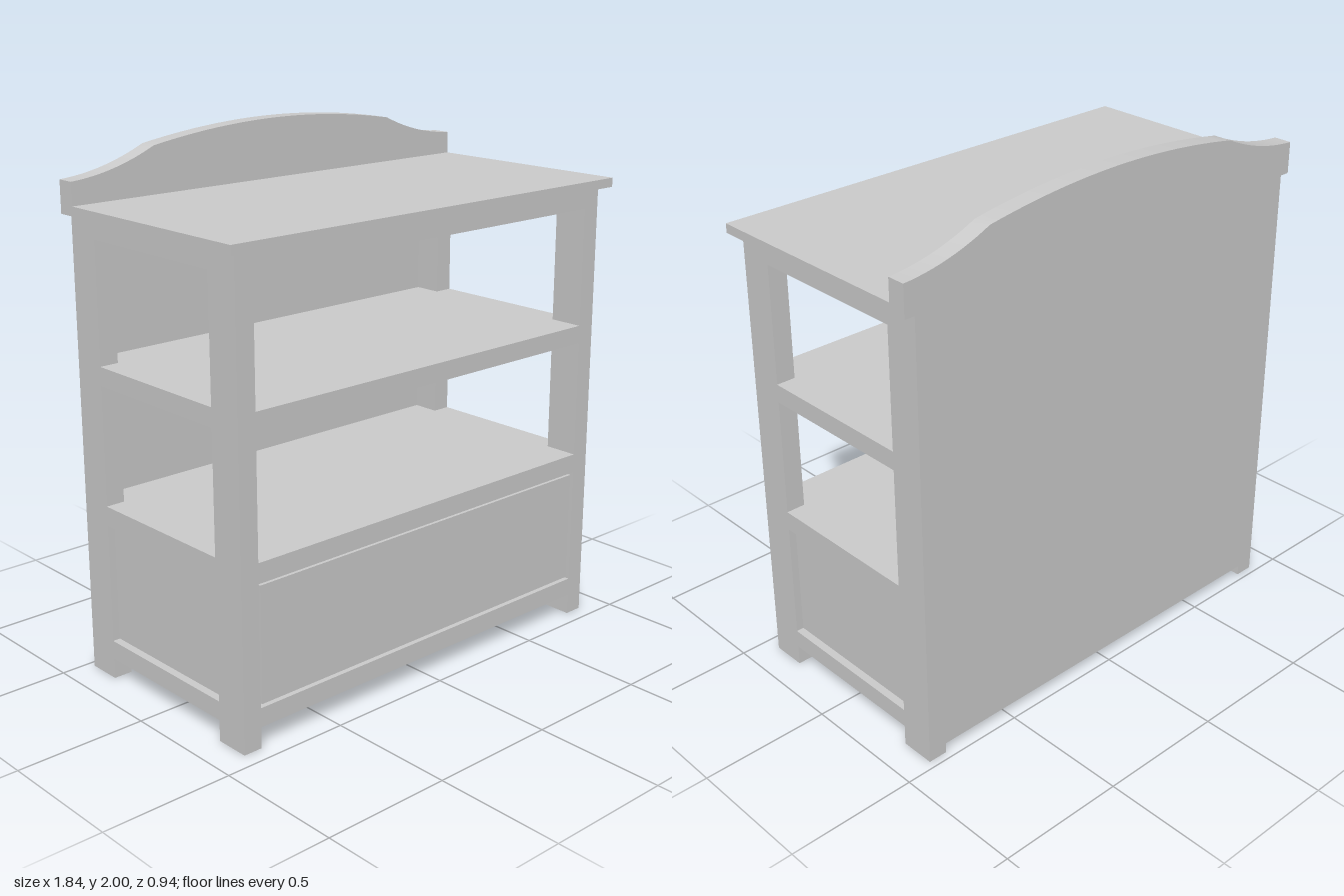
import * as THREE from 'three';
import { toCreasedNormals } from 'three/addons/utils/BufferGeometryUtils.js';

const IN = 0.805, OUT = 0.88;           // inner and outer x of the side frames
const FRONT = 0.435, BACK = -0.47;      // z of the carcass faces

export function createModel() {
  const group = new THREE.Group();
  const material = new THREE.MeshStandardMaterial({ color: 0xcccccc });

  const add = (name, geometry) => {
    const mesh = new THREE.Mesh(geometry, material);
    mesh.name = name;
    group.add(mesh);
    return mesh;
  };
  // box given by its limits on each axis
  const box = (name, x0, x1, y0, y1, z0, z1) => {
    const mesh = add(name, new THREE.BoxGeometry(x1 - x0, y1 - y0, z1 - z0));
    mesh.position.set((x0 + x1) / 2, (y0 + y1) / 2, (z0 + z1) / 2);
  };
  const polygon = (Type, pts) => new Type(pts.map(p => new THREE.Vector2(...p)));

  // side frames: posts and rails in one piece with three openings
  const z0 = -0.335, z1 = 0.30;
  const side = polygon(THREE.Shape, [
    [BACK, 0], [z0, 0], [z0, 0.08], [z1, 0.08], [z1, 0], [FRONT, 0], [FRONT, 1.74], [BACK, 1.74],
  ]);
  for (const [y0, y1] of [[0.152, 0.61], [0.685, 1.14], [1.21, 1.665]]) {
    side.holes.push(polygon(THREE.Path, [[z0, y0], [z0, y1], [z1, y1], [z1, y0]]));
  }
  const sideGeometry = new THREE.ExtrudeGeometry(side, { depth: OUT - IN, bevelEnabled: false });
  sideGeometry.rotateY(-Math.PI / 2);
  add('leftSideFrame', sideGeometry).position.x = OUT;
  add('rightSideFrame', sideGeometry).position.x = -IN;

  // recessed lower side panels
  box('leftSidePanel', IN + 0.02, IN + 0.045, 0.152, 0.61, z0, z1);
  box('rightSidePanel', -IN - 0.045, -IN - 0.02, 0.152, 0.61, z0, z1);

  // front rails
  for (const [name, y0, y1] of [
    ['bottomRail', 0.08, 0.152], ['lowerShelfRail', 0.61, 0.685],
    ['upperShelfRail', 1.14, 1.21], ['topRail', 1.665, 1.74],
  ]) box(name, -IN, IN, y0, y1, FRONT - 0.04, FRONT);

  // thin boards level with the tops of the rails
  for (const [name, y] of [['bottomBoard', 0.152], ['lowerShelf', 0.685], ['upperShelf', 1.21]]) {
    box(name, -IN, IN, y - 0.03, y, BACK + 0.025, FRONT - 0.04);
  }

  // drawer front with a narrow gap, and the drawer body behind it
  box('drawerFront', -IN + 0.01, IN - 0.01, 0.162, 0.6, FRONT - 0.045, FRONT - 0.005);
  box('drawerBody', -IN, IN, 0.152, 0.61, BACK + 0.05, FRONT - 0.045);

  // back panel and table top
  box('backPanel', -IN, IN, 0.04, 1.74, BACK, BACK + 0.025);
  box('topBoard', -0.92, 0.92, 1.74, 1.775, -0.4, 0.47);

  // curved backboard
  const crest = new THREE.Shape();
  crest.moveTo(-0.92, 1.74);
  crest.lineTo(0.92, 1.74);
  crest.lineTo(0.92, 1.86);
  crest.quadraticCurveTo(0.74, 1.87, 0.57, 1.95);
  crest.quadraticCurveTo(0.28, 2, 0, 2);
  crest.quadraticCurveTo(-0.28, 2, -0.57, 1.95);
  crest.quadraticCurveTo(-0.74, 1.87, -0.92, 1.86);
  const crestGeometry = new THREE.ExtrudeGeometry(crest, { depth: 0.07, bevelEnabled: false, curveSegments: 12 });
  add('backboard', toCreasedNormals(crestGeometry, 0.4)).position.z = BACK;

  return group;
}
